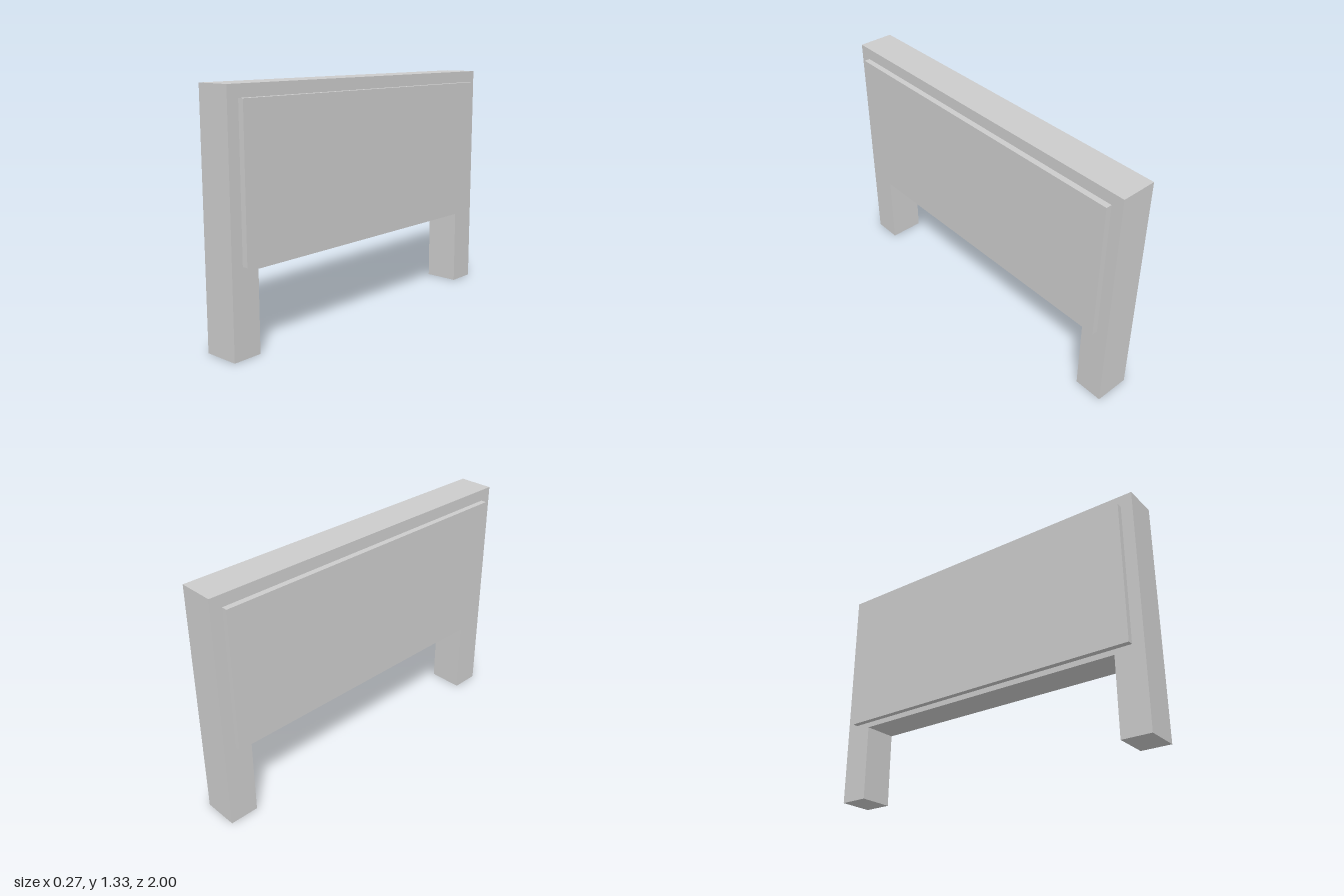
import * as THREE from 'three';

const HEIGHT = 1.333, HALF_LENGTH = 1, HALF_DEPTH = 0.1;
const LEG_INNER = 0.835, UNDERSIDE = 0.437;

export function createModel() {
  const model = new THREE.Group();
  model.name = 'signBoard';
  const material = new THREE.MeshStandardMaterial({ color: 0xcccccc, flatShading: true });

  // Board and both legs as one outline, extruded through the thickness
  const outline = new THREE.Shape([
    [-HALF_LENGTH, 0], [-LEG_INNER, 0], [-LEG_INNER, UNDERSIDE],
    [LEG_INNER, UNDERSIDE], [LEG_INNER, 0], [HALF_LENGTH, 0],
    [HALF_LENGTH, HEIGHT], [-HALF_LENGTH, HEIGHT],
  ].map(([z, y]) => new THREE.Vector2(z, y)));
  const frameGeometry = new THREE.ExtrudeGeometry(outline, { depth: 2 * HALF_DEPTH, bevelEnabled: false });
  frameGeometry.translate(0, 0, -HALF_DEPTH).rotateY(Math.PI / 2);
  const frame = new THREE.Mesh(frameGeometry, material);
  frame.name = 'frameWithLegs';
  model.add(frame);

  // Raised panel on each broad side
  const thickness = 0.033;
  const panelGeometry = new THREE.BoxGeometry(thickness, 0.8, 1.867);
  for (const [name, side] of [['leftPanel', 1], ['rightPanel', -1]]) {
    const panel = new THREE.Mesh(panelGeometry, material);
    panel.name = name;
    panel.position.set(side * (HALF_DEPTH + thickness / 2), 0.867, 0);
    model.add(panel);
  }
  return model;
}
